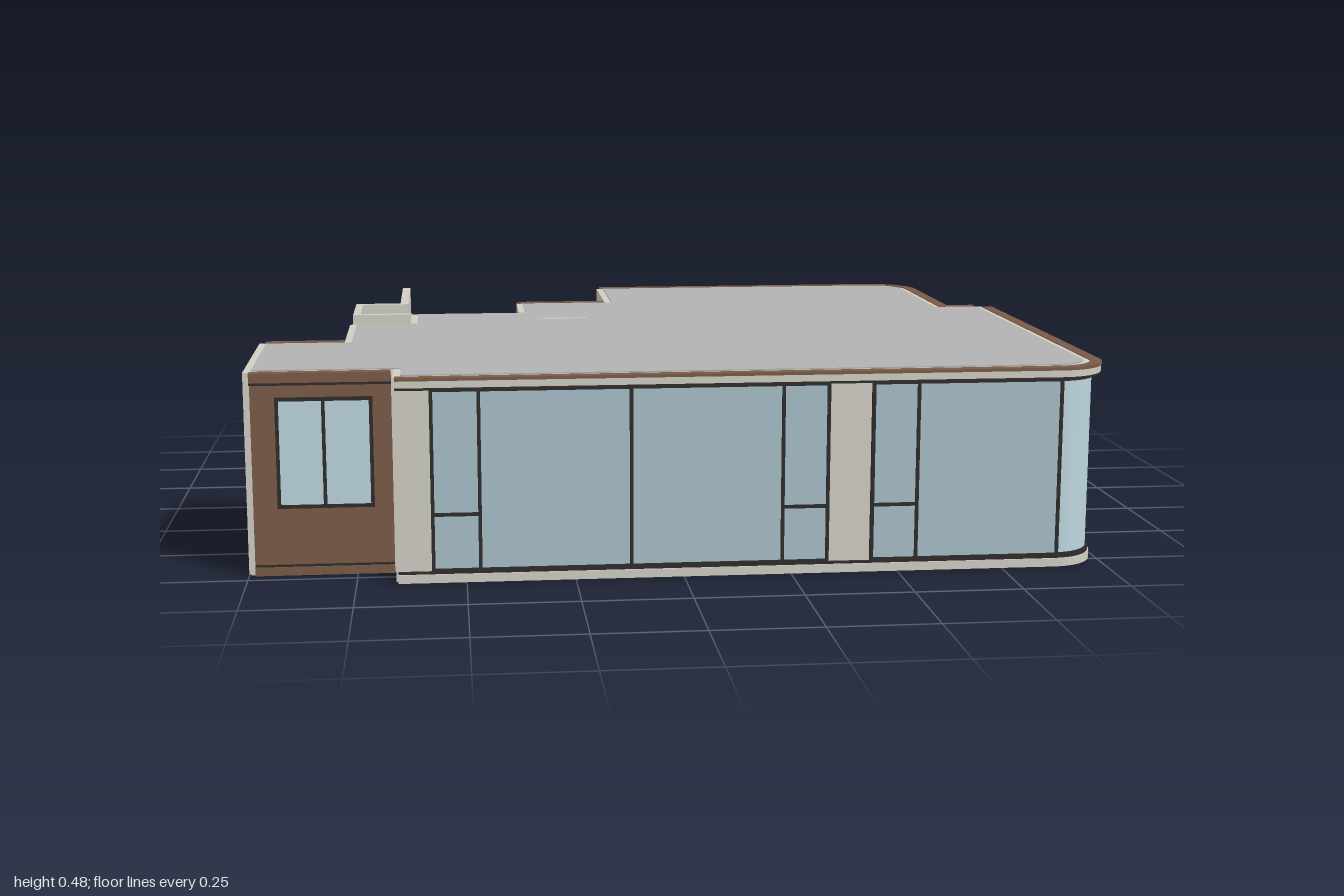
import * as THREE from 'three';
import { toCreasedNormals } from 'three/addons/utils/BufferGeometryUtils.js';

const mat = (color) => new THREE.MeshStandardMaterial({ color });
const M = {
  wall: mat(0xd0cec4), roof: mat(0xb2b2b2), brown: mat(0x7a5a46), frame: mat(0x2e2c2a),
  glass: mat(0xa9c0c8), light: mat(0xbcd5de), floor: mat(0x9aa09f),
};

// Quarter-round corner in plan, from angle a0 down to a1 (degrees, measured from +x towards +z)
const arc = (cx, cz, r, a0, a1, n = 10) => Array.from({ length: n + 1 }, (_, i) => {
  const a = THREE.MathUtils.degToRad(a0 + (a1 - a0) * i / n);
  return [cx + r * Math.cos(a), cz + r * Math.sin(a)];
});

// Mitred parallel of a plan path; positive distance moves outward
function offset(path, d, closed = false) {
  const n = path.length;
  const normal = (i) => {
    const a = path[(i + n) % n], b = path[(i + 1) % n];
    const l = Math.hypot(b[0] - a[0], b[1] - a[1]);
    return [-(b[1] - a[1]) / l, (b[0] - a[0]) / l];
  };
  return path.map((p, i) => {
    const n1 = closed || i < n - 1 ? normal(i) : normal(i - 1);
    const n0 = closed || i > 0 ? normal(i - 1) : n1;
    const k = d / (1 + n0[0] * n1[0] + n0[1] * n1[1]);
    return [p[0] + (n0[0] + n1[0]) * k, p[1] + (n0[1] + n1[1]) * k];
  });
}

// Plan polygon raised from y0 to y1
function prism(parent, name, pts, y0, y1, material) {
  const shape = new THREE.Shape(pts.map(([x, z]) => new THREE.Vector2(x, -z)));
  let g = new THREE.ExtrudeGeometry(shape, { depth: y1 - y0, bevelEnabled: false });
  g.rotateX(-Math.PI / 2).translate(0, y0, 0);
  g = toCreasedNormals(g, 0.5);
  const m = new THREE.Mesh(g, material);
  m.name = name;
  parent.add(m);
}

// Strip following a path, lying between two parallel offsets
const band = (parent, name, path, d0, d1, y0, y1, material) =>
  prism(parent, name, [...offset(path, d0), ...offset(path, d1).reverse()], y0, y1, material);

function box(parent, name, x0, x1, y0, y1, z0, z1, material) {
  const m = new THREE.Mesh(new THREE.BoxGeometry(x1 - x0, y1 - y0, z1 - z0), material);
  m.position.set((x0 + x1) / 2, (y0 + y1) / 2, (z0 + z1) / 2);
  m.name = name;
  parent.add(m);
}

// Framed glazing facing local +z: mullion positions, and panes that carry a transom
function glazing(parent, name, xs, y0, y1, { x = 0, z = 0, turn = 0, transoms = [], ty = 0.16, glass = M.glass }) {
  const g = new THREE.Group(), t = 0.004, a = xs[0], b = xs[xs.length - 1];
  g.name = name;
  box(g, 'pane', a, b, y0, y1, -0.004, 0.003, glass);
  xs.forEach((v) => box(g, 'mullion', v - t, v + t, y0, y1, -0.004, 0.007, M.frame));
  [y0, y1].forEach((v) => box(g, 'rail', a - t, b + t, v - t, v + t, -0.004, 0.007, M.frame));
  transoms.forEach((i) => box(g, 'transom', xs[i], xs[i + 1], ty - t, ty + t, -0.004, 0.007, M.frame));
  g.position.set(x, 0, z);
  g.rotation.y = turn;
  parent.add(g);
}

// Bent glass at a rounded corner
function cornerGlass(parent, path, y0, y1) {
  band(parent, 'cornerGlass', path, -0.004, 0.003, y0, y1, M.light);
  [y0, y1].forEach((v) => band(parent, 'cornerRail', path, -0.004, 0.007, v - 0.004, v + 0.004, M.frame));
}

export function createModel() {
  const house = new THREE.Group();
  house.name = 'house';

  const frontCorner = arc(0.875, 0.71, 0.1, 90, 0);
  const backCorner = arc(0.755, -0.675, 0.1, 0, -90);
  const outline = [
    [-0.66, 0.81], ...frontCorner, [0.975, -0.255], [0.855, -0.255], ...backCorner,
    [-0.08, -0.775], [-0.08, -0.45], [-0.335, -0.45], [-0.335, -0.25], [-0.63, -0.25], [-0.63, -0.06],
    [-0.79, -0.06], [-0.79, 0.26], [-1, 0.26], [-1, 0.71], [-0.66, 0.71],
  ];

  // Main body and roof
  prism(house, 'walls', outline, 0.004, 0.476, M.wall);
  prism(house, 'roof', offset(outline, -0.018, true), 0.474, 0.479, M.roof);
  prism(house, 'underside', offset(outline, -0.004, true), 0, 0.006, M.roof);
  box(house, 'roofStrip', -0.29, -0.16, 0.476, 0.48, -0.115, -0.1, M.wall);

  // Cornice and plinth along the main facades
  const runs = [
    [[-0.655, 0.81], ...frontCorner, [0.975, -0.24]],
    [[0.955, -0.255], [0.855, -0.255], ...backCorner, [-0.07, -0.775]],
    [[-0.085, -0.45], [-0.33, -0.45]],
    [[-0.79, 0.26], [-0.985, 0.26]],
    [[-0.985, 0.71], [-0.665, 0.71]],
  ];
  runs.forEach((run, i) => {
    const face = i === 4 ? M.brown : M.wall;
    band(house, 'cornice', run, -0.002, 0.024, 0.455, 0.471, face);
    band(house, 'corniceTop', run, -0.002, 0.026, 0.471, 0.478, M.brown);
    band(house, 'corniceShadowLine', run, -0.002, 0.022, 0.449, 0.455, M.frame);
    band(house, 'plinth', run, -0.002, 0.012, 0.002, 0.022, face);
    band(house, 'plinthLine', run, -0.002, 0.009, 0.022, 0.027, M.frame);
  });

  // Front glazing with the bent corner pane
  glazing(house, 'frontGlazing', [-0.575, -0.468, -0.122, 0.228, 0.333], 0.03, 0.447, { z: 0.812, transoms: [0, 3] });
  glazing(house, 'frontGlazing', [0.438, 0.543, 0.88], 0.03, 0.447, { z: 0.812, transoms: [0] });
  cornerGlass(house, frontCorner, 0.03, 0.447);

  // Brown side block facade
  box(house, 'brownPanel', -0.985, -0.665, 0.02, 0.455, 0.705, 0.716, M.brown);
  glazing(house, 'brownPanelWindow', [-0.925, -0.82, -0.712], 0.165, 0.415, { z: 0.718, glass: M.light });

  // Right wall window and panel joints
  glazing(house, 'sideWindow', [0.055, 0.185], 0.19, 0.415, { x: 0.977, turn: Math.PI / 2, glass: M.light });
  [[0.975, 0.71], [0.975, 0.69], [0.975, 0.11], [0.855, -0.285], [0.855, -0.645], [0.855, -0.665]].forEach(([x, z]) =>
    box(house, 'panelJoint', x - 0.002, x + 0.002, 0.027, 0.449, z - 0.002, z + 0.002, M.frame));

  // Rear windows (local x runs opposite to world x)
  const back = (name, xs, y0, y1, z, opt = {}) =>
    glazing(house, name, xs.map((v) => -v), y0, y1, { z, turn: Math.PI, ty: 0.19, ...opt });
  back('rearWindow', [0.755, 0.525, 0.435], 0.1, 0.39, -0.777, { transoms: [1] });
  back('rearWindow', [0.29, 0.215, 0.01], 0.1, 0.39, -0.777, { transoms: [0] });
  cornerGlass(house, backCorner, 0.1, 0.39);
  back('smallRearWindow', [-0.125, -0.28], 0.19, 0.4, -0.452, { glass: M.light });
  back('balconyDoor', [-0.37, -0.5], 0.03, 0.4, -0.252);

  // Balcony floor and bent glass balustrade
  const balconyEdge = [[-0.24, -0.455], ...arc(-0.305, -0.78, 0.065, 0, -90), [-0.65, -0.845]];
  prism(house, 'balconyFloor', [...balconyEdge, [-0.65, -0.455]], 0.003, 0.03, M.floor);
  box(house, 'recessFloor', -0.78, -0.33, 0.003, 0.03, -0.46, -0.245, M.floor);
  band(house, 'balustradeGlass', balconyEdge, -0.008, -0.002, 0.03, 0.198, M.light);
  band(house, 'balustradeRail', balconyEdge, -0.01, 0, 0.198, 0.204, M.frame);
  band(house, 'balconyLine', balconyEdge, -0.01, 0.002, 0.027, 0.032, M.frame);

  // Screen wall with a framed opening, built around the gap
  const screen = (z0, z1, y0, y1) => box(house, 'screenWall', -0.665, -0.642, y0, y1, z0, z1, M.wall);
  screen(-0.845, -0.775, 0.004, 0.478);
  screen(-0.55, -0.465, 0.004, 0.478);
  screen(-0.775, -0.55, 0.39, 0.478);
  screen(-0.775, -0.55, 0.004, 0.03);
  [1, -1].forEach((s) => glazing(house, 'screenGlazing', [-0.1125, 0.1125], 0.03, 0.39,
    { x: -0.6535 + s * 0.003, z: -0.6625, turn: s * Math.PI / 2 }));

  // Recess walls beside the balcony
  box(house, 'recessWall', -0.79, -0.642, 0.004, 0.478, -0.475, -0.455, M.wall);
  box(house, 'recessWall', -0.79, -0.77, 0.004, 0.478, -0.455, -0.235, M.wall);
  box(house, 'recessWall', -0.77, -0.628, 0.004, 0.478, -0.255, -0.235, M.wall);

  return house;
}
